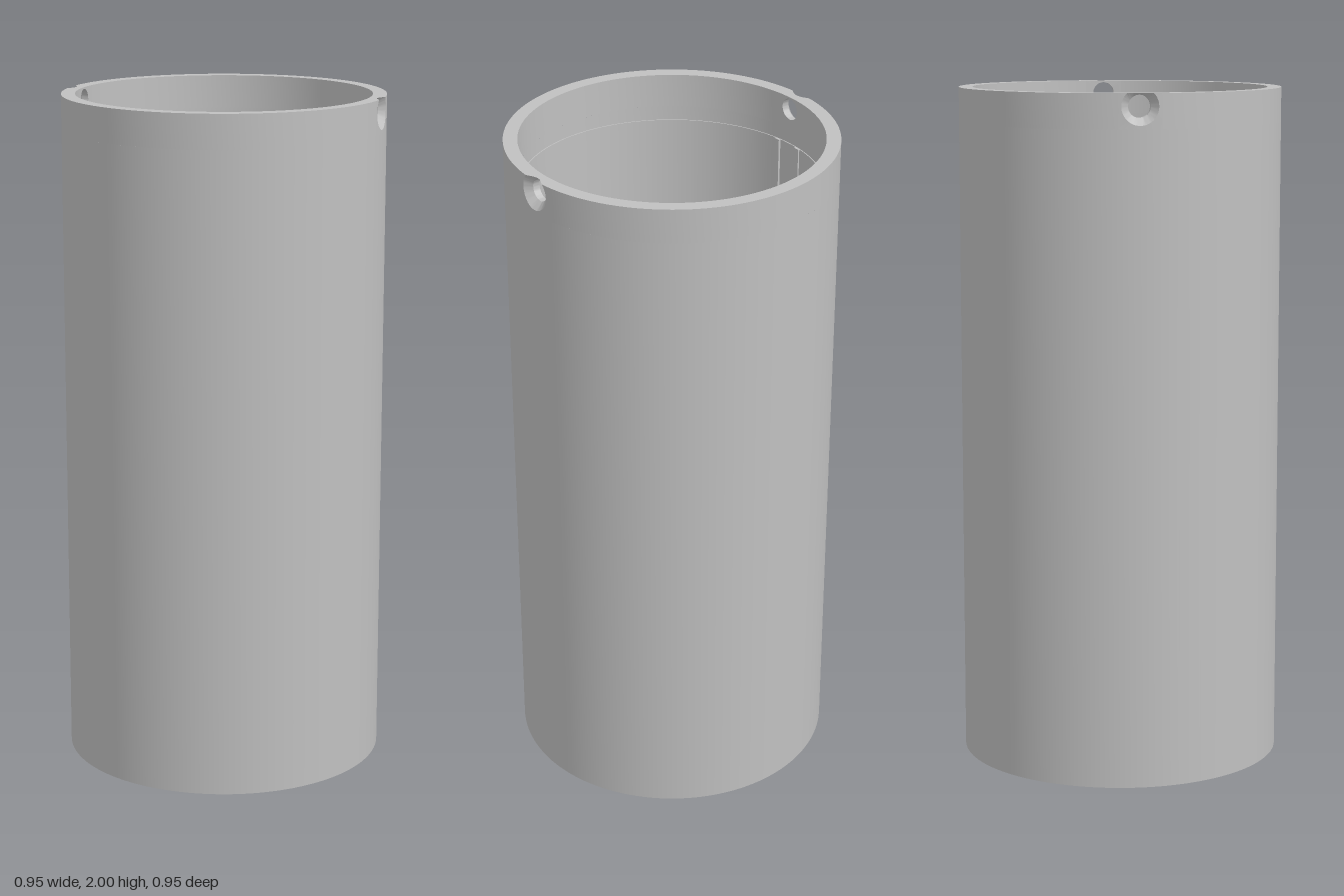
import * as THREE from 'three';
import { toCreasedNormals } from 'three/addons/utils/BufferGeometryUtils.js';

const R = 0.475, R_IN = 0.434, R_LOW = 0.431;   // outer, upper inner and lower inner radius
const TOP = 2, BAND = 1.9, STEP = 1.857, FLOOR = 0.043;
const HOLE_Y = 1.963, HOLE_R = 0.032, SINK_R = 0.053, HALF_W = 0.06;

export function createModel() {
  const group = new THREE.Group();
  const grey = new THREE.MeshStandardMaterial({ color: 0xc0c0c0 });
  grey.name = 'grey plastic';
  const add = (name, geometry) => {
    const mesh = new THREE.Mesh(geometry, grey);
    mesh.name = name;
    group.add(mesh);
    return mesh;
  };
  const lathe = (pts, segments, start, length) => toCreasedNormals(
    new THREE.LatheGeometry(pts.map(p => new THREE.Vector2(...p)), segments, start, length), 0.5);

  // tube wall, with a tiny step inside near the top
  add('tubeWall', lathe([[R_IN, BAND], [R_IN, STEP], [R_LOW, STEP], [R_LOW, 0], [R, 0], [R, BAND]], 128));

  // rim band in two arcs, leaving room for the screw holes on both sides
  const gap = Math.asin(HALF_W / R);
  for (const side of [1, -1]) {
    add('rimArc', lathe([[R, BAND], [R, TOP], [R_IN, TOP], [R_IN, BAND]], 62,
      side * Math.PI / 2 + gap, Math.PI - 2 * gap));
    const patch = add('screwHole', screwHolePatch());
    if (side < 0) patch.rotation.y = Math.PI;
  }

  // guide ribs in pairs along the inner wall
  for (const x of [-1, 1]) for (const z of [-1, 1]) {
    const rib = add('guideRib', new THREE.BoxGeometry(0.012, STEP - FLOOR, 0.02));
    rib.position.set(x * 0.429, (STEP + FLOOR) / 2, z * 0.044);
  }

  add('perforatedFloor', floorGeometry());
  return group;
}

// Piece of rim around a countersunk hole that breaks through the top edge
function screwHolePatch() {
  const up = TOP - HOLE_Y, down = HOLE_Y - BAND;
  const clamp = Math.asin(up / SINK_R);
  const corner = Math.atan2(up, HALF_W), low = Math.atan2(down, HALF_W);
  const angles = [clamp, Math.PI - clamp, corner, Math.PI - corner, 2 * Math.PI - low, Math.PI + low];
  for (let i = 0; i < 48; i++) angles.push(i / 48 * 2 * Math.PI);
  angles.sort((a, b) => a - b);

  const onCylinder = (radius, u) => Math.sqrt(radius * radius - u * u);
  const positions = [], index = [], ROWS = 5;
  for (const t of angles) {
    const c = Math.cos(t), s = Math.sin(t);
    const edge = Math.min(HALF_W / Math.max(Math.abs(c), 1e-6), (s > 0 ? up : down) / Math.max(Math.abs(s), 1e-6));
    const sink = Math.min(SINK_R, edge);
    const sinkX = Math.min(onCylinder(R, sink * c), R - (SINK_R - sink));
    const open = edge <= SINK_R;
    const inU = edge * c * R_IN / R;
    const rows = [
      [onCylinder(R_IN, HOLE_R * c), HOLE_R * s, HOLE_R * c],           // hole, inside
      [onCylinder(R_IN, inU), edge * s, inU],                           // border, inside
      [open ? sinkX : onCylinder(R, edge * c), edge * s, edge * c],     // border, outside
      [sinkX, sink * s, sink * c],                                      // countersink mouth
      [R - (SINK_R - HOLE_R), HOLE_R * s, HOLE_R * c],                  // countersink bottom
    ];
    for (const [x, y, z] of rows) positions.push(x, HOLE_Y + y, z);
  }
  const n = angles.length;
  for (let i = 0; i < n; i++) for (let j = 0; j < ROWS; j++) {
    const i2 = (i + 1) % n, j2 = (j + 1) % ROWS;
    const a = i * ROWS + j, b = i2 * ROWS + j, c = i * ROWS + j2, d = i2 * ROWS + j2;
    index.push(a, c, b, b, c, d);
  }
  const g = new THREE.BufferGeometry();
  g.setAttribute('position', new THREE.Float32BufferAttribute(positions, 3));
  g.setIndex(index);
  return toCreasedNormals(g, 0.5);
}

// Floor disc with a honeycomb of vents and one round cable hole
function floorGeometry() {
  const shape = new THREE.Shape().absarc(0, 0, R_LOW, 0, Math.PI * 2);
  const PITCH = 0.0717, HEX_R = 0.0325;
  // [row, first column, last column], mirrored to both sides
  const vents = [[-6, 0, 1], [-5, 0.5, 2.5], [-4, 0, 4], [-3, 0.5, 4.5], [-2, 0, 5],
    [2, 2, 5], [3, 2.5, 4.5], [4, 2, 4], [5, 2.5, 2.5], [6, 0, 1]];
  for (const [row, first, last] of vents) {
    for (let col = first; col <= last; col++) {
      for (const side of col === 0 ? [1] : [1, -1]) {
        const pts = [];
        for (let k = 0; k < 6; k++) {
          const a = Math.PI / 6 + k * Math.PI / 3;
          pts.push(new THREE.Vector2(side * col * PITCH + HEX_R * Math.cos(a),
            row * PITCH * Math.sqrt(3) / 2 + HEX_R * Math.sin(a)));
        }
        shape.holes.push(new THREE.Path(pts));
      }
    }
  }
  shape.holes.push(new THREE.Path().absarc(0, 0.2155, 0.083, 0, Math.PI * 2));
  const g = new THREE.ExtrudeGeometry(shape, { depth: FLOOR, bevelEnabled: false, curveSegments: 64 });
  g.rotateX(Math.PI / 2).translate(0, FLOOR, 0);
  return toCreasedNormals(g, 0.5);
}
